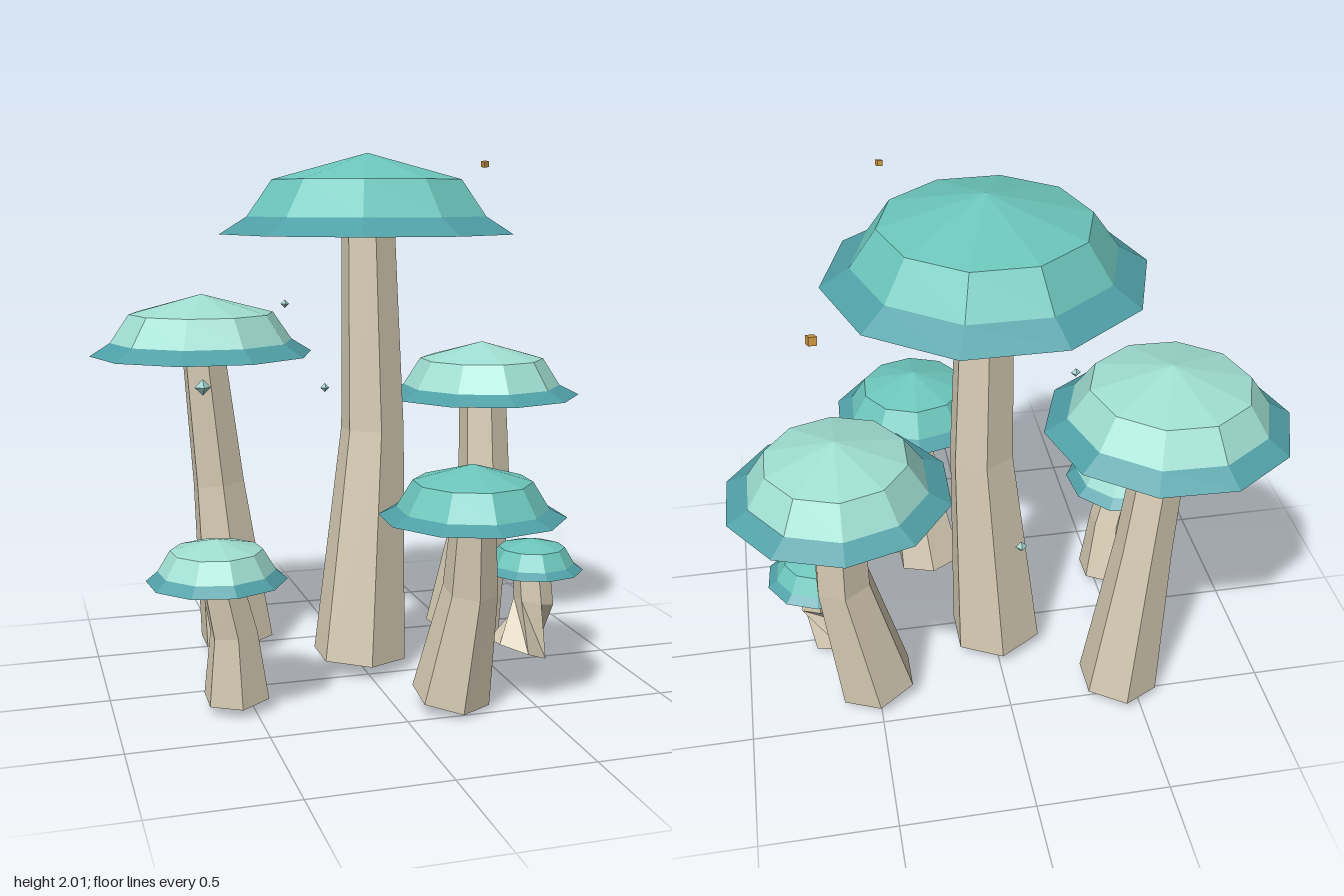
import * as THREE from 'three';

const material = (color) => new THREE.MeshStandardMaterial({ color, flatShading: true, side: THREE.DoubleSide });
const TEAL = material(0x6cc5bb);
const PALE = material(0x9fddd1);
const RIM = material(0x4f9fa6);
const GILLS = material(0x315059);
const STEM = material(0xd9ceb6);
const SPORE = material(0x9fd0cc);
const EMBER = material(0xd09a45);

function add(parent, name, geometry, mat) {
  const mesh = new THREE.Mesh(geometry, mat);
  mesh.name = name;
  parent.add(mesh);
  return mesh;
}

// Ten-sided cap: flat underside, flared rim, steep shoulder and shallow crown
function addCap(parent, { at, radii, heights, turn, tint }) {
  const cap = new THREE.Group();
  cap.name = 'cap';
  cap.position.set(at[0], 0, at[1]);
  cap.rotation.y = THREE.MathUtils.degToRad(turn);
  const [rimR, midR, shoulderR] = radii;
  const [rimY, midY, shoulderY, topY] = heights;
  const band = (name, points, mat) =>
    add(cap, name, new THREE.LatheGeometry(points.map((p) => new THREE.Vector2(...p)), 10), mat);
  band('capUnderside', [[0, rimY], [rimR, rimY]], GILLS);
  band('capRim', [[rimR, rimY], [midR, midY]], RIM);
  band('capCrown', [[midR, midY], [shoulderR, shoulderY], [0, topY]], tint);
  parent.add(cap);
}

// Six-sided bent stem through three rings [x, y, z, radius], bottom to top;
// each ring leans square to the path, and the lower ring may be twisted
function addStem(parent, rings, twist = 0) {
  const geometry = new THREE.CylinderGeometry(1, 1, 2, 6, 2);
  const centres = rings.map(([x, y, z]) => new THREE.Vector3(x, y, z));
  const pos = geometry.attributes.position;
  for (let k = 0; k < pos.count; k++) {
    const i = Math.round(pos.getY(k)) + 1;
    const [x, y, z, r] = rings[i];
    const offset = new THREE.Vector3(pos.getX(k) * r, 0, pos.getZ(k) * r);
    if (i === 0) offset.applyAxisAngle(new THREE.Vector3(0, 1, 0), twist);
    const path = centres[Math.min(i + 1, 2)].clone().sub(centres[Math.max(i - 1, 0)]);
    const lean = i === 2 ? 0 : -(path.x * offset.x + path.z * offset.z) / path.y;
    pos.setXYZ(k, x + offset.x, y + lean, z + offset.z);
  }
  geometry.computeVertexNormals();
  add(parent, 'stem', geometry, STEM);
}

const MUSHROOMS = [
  { name: 'tallMushroom', at: [0.03, -0.12], radii: [0.57, 0.465, 0.37], heights: [1.7, 1.765, 1.9, 2], turn: 18, tint: TEAL,
    stem: [[-0.01, 0.045, -0.1, 0.185], [0.047, 0.95, -0.11, 0.125], [0.03, 1.7, -0.11, 0.105]] },
  { name: 'backRightMushroom', at: [-0.56, -0.435], radii: [0.44, 0.36, 0.285], heights: [1.225, 1.275, 1.385, 1.46], turn: 16, tint: PALE,
    stem: [[-0.435, 0.04, -0.465, 0.155], [-0.5, 0.7, -0.46, 0.108], [-0.555, 1.225, -0.435, 0.09]] },
  { name: 'backLeftMushroom', at: [0.6, -0.375], radii: [0.405, 0.325, 0.255], heights: [1.025, 1.065, 1.175, 1.245], turn: 34.6, tint: PALE,
    stem: [[0.505, 0.04, -0.315, 0.155], [0.608, 0.6, -0.345, 0.11], [0.605, 1.025, -0.37, 0.098]] },
  { name: 'frontMushroom', at: [0.225, 0.525], radii: [0.33, 0.268, 0.21], heights: [0.735, 0.765, 0.86, 0.92], turn: -3, tint: TEAL,
    stem: [[0.195, 0.035, 0.405, 0.143], [0.24, 0.45, 0.475, 0.1], [0.23, 0.735, 0.525, 0.08]] },
  { name: 'frontRightMushroom', at: [-0.63, 0.23], radii: [0.252, 0.21, 0.165], heights: [0.49, 0.525, 0.6, 0.64], turn: 6, tint: PALE,
    stem: [[-0.56, 0.035, 0.195, 0.125], [-0.57, 0.29, 0.215, 0.09], [-0.615, 0.49, 0.23, 0.08]] },
  { name: 'smallMushroom', at: [0.69, -0.02], radii: [0.206, 0.17, 0.132], heights: [0.36, 0.385, 0.45, 0.485], turn: -5, tint: TEAL,
    stem: [[0.625, 0.035, 0.005, 0.115], [0.7, 0.225, -0.015, 0.08], [0.69, 0.36, -0.02, 0.075]], twist: (Math.PI * 2) / 3 },
];

export function createModel() {
  const model = new THREE.Group();
  model.name = 'mushroomCluster';

  for (const spec of MUSHROOMS) {
    const mushroom = new THREE.Group();
    mushroom.name = spec.name;
    addCap(mushroom, spec);
    addStem(mushroom, spec.stem, spec.twist);
    model.add(mushroom);
  }

  // Floating pale spores
  for (const [x, y, z, r] of [[-0.635, 1.155, 0.03, 0.03], [-0.24, 1.42, -0.36, 0.017], [0.025, 1.02, -0.765, 0.02]]) {
    add(model, 'spore', new THREE.OctahedronGeometry(r), SPORE).position.set(x, y, z);
  }

  // Floating amber specks
  for (const [x, y, z, size] of [[0.34, 1.95, 0.3, 0.02], [0.65, 1.775, -0.585, 0.028]]) {
    const speck = add(model, 'amberSpeck', new THREE.BoxGeometry(size, size, size), EMBER);
    speck.position.set(x, y, z);
    speck.rotation.set(0.2, 0.3, 0.1);
  }
  return model;
}
